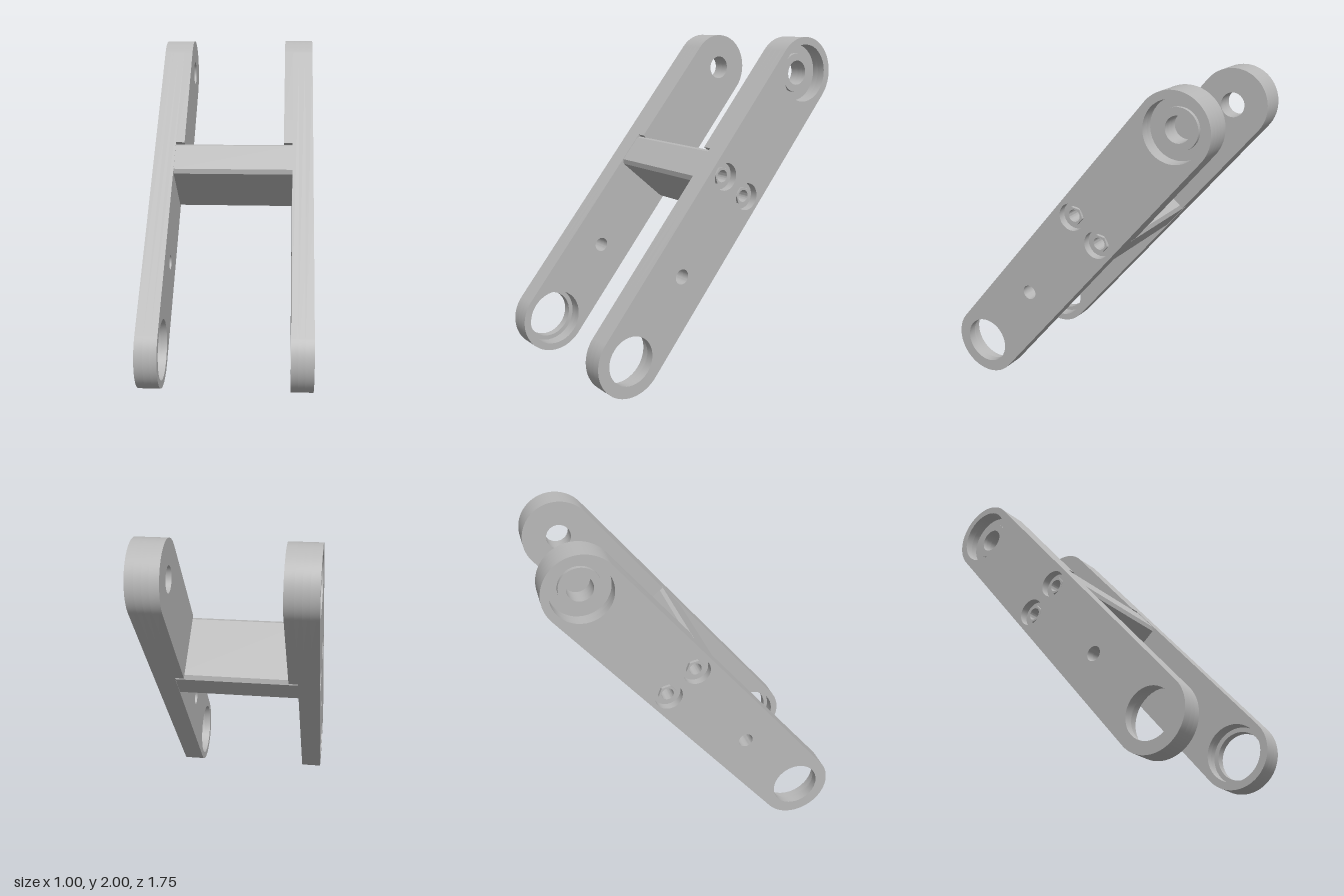
import * as THREE from 'three';
import { toCreasedNormals } from 'three/addons/utils/BufferGeometryUtils.js';

// Arm frame: a runs up the arm from the lower bore, b across it, extrusion goes along x
const LENGTH = 2.04, RADIUS = 0.22, STEP = 1.3;
const BOLTS = [[1.19, 0.11], [1.19, -0.11]];

const metal = new THREE.MeshStandardMaterial({ color: 0xb8b8b8 });
metal.name = 'grey metal';

function addHole(shape, a, b, r) {
  const hole = new THREE.Path();
  hole.absarc(a, b, r, 0, Math.PI * 2, true);
  shape.holes.push(hole);
}

// Outline with a round upper end; the lower end is round or cut square at `start`
function armOutline(start) {
  const s = new THREE.Shape();
  s.moveTo(start, -RADIUS);
  s.lineTo(LENGTH, -RADIUS);
  s.absarc(LENGTH, 0, RADIUS, -Math.PI / 2, Math.PI / 2, false);
  s.lineTo(start, RADIUS);
  if (start === 0) s.absarc(0, 0, RADIUS, Math.PI / 2, Math.PI * 1.5, false);
  else s.closePath();
  return s;
}

function slab(name, shape, x0, x1) {
  let geo = new THREE.ExtrudeGeometry(shape, { depth: x1 - x0, bevelEnabled: false, curveSegments: 20 });
  geo.translate(0, 0, x0);
  geo = toCreasedNormals(geo, 0.6);
  const mesh = new THREE.Mesh(geo, metal);
  mesh.name = name;
  return mesh;
}

// One layer of an arm with its own bore sizes
function armLayer(lowerR, upperR, boltR) {
  const s = armOutline(0);
  addHole(s, 0, 0, lowerR);
  addHole(s, LENGTH, 0, upperR);
  addHole(s, 0.56, 0, 0.045);
  BOLTS.forEach(([a, b]) => addHole(s, a, b, boltR));
  return s;
}

function createArm(side) {
  const arm = new THREE.Group();
  arm.name = side > 0 ? 'leftArm' : 'rightArm';
  const add = (name, shape, inner, outer) =>
    arm.add(side > 0 ? slab(name, shape, inner, outer) : slab(name, shape, -outer, -inner));

  // Plate in layers: inner bearing pocket below, outer pocket above, bolt recesses
  add('innerPlate', armLayer(0.175, 0.075, 0.037), 0.37, 0.41);
  add('middlePlate', armLayer(0.175, 0.175, 0.037), 0.41, 0.45);
  add('outerPlate', armLayer(0.147, 0.175, 0.083), 0.45, 0.5);

  // Thickened upper half
  const pad = armOutline(STEP);
  addHole(pad, LENGTH, 0, 0.075);
  add('upperPad', pad, 0.315, 0.37);

  // Raised collar in the upper pocket
  const collar = new THREE.Shape().absarc(LENGTH, 0, 0.12, 0, Math.PI * 2, false);
  addHole(collar, LENGTH, 0, 0.075);
  add('pivotCollar', collar, 0.41, 0.435);

  // Hex nuts in the bolt recesses
  BOLTS.forEach(([a, b]) => {
    const nut = new THREE.Shape();
    for (let i = 0; i < 6; i++) {
      const t = i * Math.PI / 3;
      nut[i ? 'lineTo' : 'moveTo'](a + 0.055 * Math.cos(t), b + 0.055 * Math.sin(t));
    }
    nut.closePath();
    addHole(nut, a, b, 0.037);
    add('hexNut', nut, 0.45, 0.47);
  });
  return arm;
}

// Chamfered bar joining the arms, drilled for the bolts
function createCrossbar() {
  const a0 = 1.08, a1 = STEP, w = 0.217, c = 0.022;
  const s = new THREE.Shape([
    [a0 + c, -w], [a1 - c, -w], [a1, -w + c], [a1, w - c],
    [a1 - c, w], [a0 + c, w], [a0, w - c], [a0, -w + c],
  ].map(([x, y]) => new THREE.Vector2(x, y)));
  BOLTS.forEach(([a, b]) => addHole(s, a, b, 0.037));
  return slab('crossbar', s, -0.37, 0.37);
}

export function createModel() {
  const frame = new THREE.Group();
  frame.name = 'linkFrame';
  frame.add(createArm(1), createArm(-1), createCrossbar());

  // Lean the arms back and stand the lower ends on the ground
  const up = new THREE.Vector3(0, 1.56, -1.315).normalize();
  const across = new THREE.Vector3(0, 1.315, 1.56).normalize();
  const basis = new THREE.Matrix4().makeBasis(up, across, new THREE.Vector3(1, 0, 0));
  frame.quaternion.setFromRotationMatrix(basis);
  frame.position.set(0, RADIUS, 0.6575);

  const model = new THREE.Group();
  model.name = 'swingArm';
  model.add(frame);
  return model;
}
